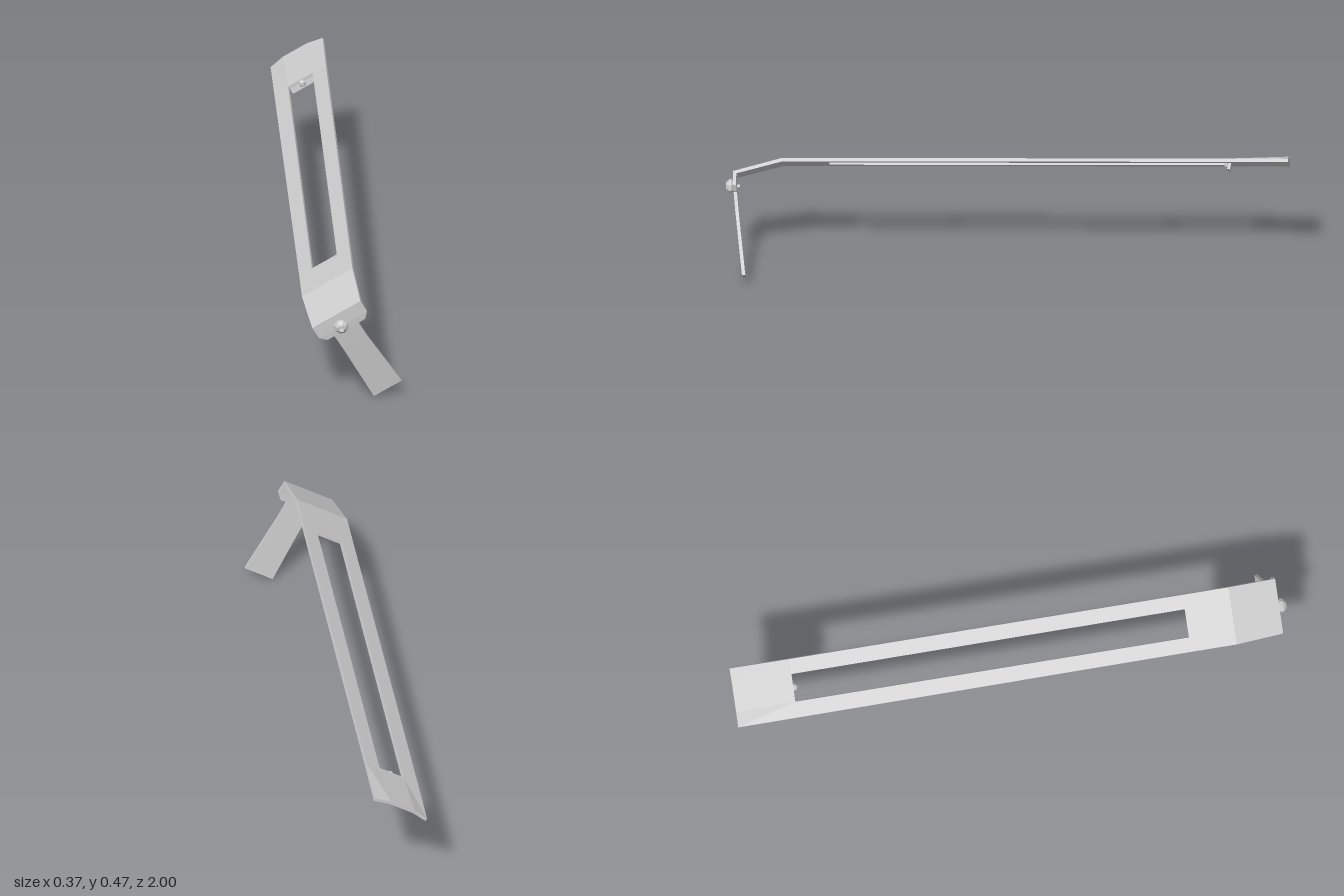
import * as THREE from 'three';

const material = new THREE.MeshStandardMaterial({ color: 0xcccccc, flatShading: true });
const T = 0.012; // sheet thickness

// Bent sheet: rows of outer points, an inward offset for each row, and cells left open.
function sheet(rows, offsets, isOpen) {
  const pos = [];
  const quad = (a, b, c, d) => pos.push(...a, ...b, ...c, ...a, ...c, ...d);
  const inner = rows.map((row, r) => row.map(p => p.map((v, k) => v + offsets[r][k])));
  const R = rows.length - 1, C = rows[0].length - 1;
  const filled = (r, c) => r >= 0 && c >= 0 && r < R && c < C && !isOpen(r, c);
  for (let r = 0; r < R; r++) for (let c = 0; c < C; c++) {
    if (!filled(r, c)) continue;
    const ring = [[r, c], [r + 1, c], [r + 1, c + 1], [r, c + 1]];
    const neighbours = [[r, c - 1], [r + 1, c], [r, c + 1], [r - 1, c]];
    const o = ring.map(([i, j]) => rows[i][j]);
    const n = ring.map(([i, j]) => inner[i][j]);
    quad(...o);
    quad(n[3], n[2], n[1], n[0]);
    neighbours.forEach((cell, k) => {
      const m = (k + 1) % 4;
      if (!filled(...cell)) quad(o[m], o[k], n[k], n[m]);
    });
  }
  const g = new THREE.BufferGeometry();
  g.setAttribute('position', new THREE.Float32BufferAttribute(pos, 3));
  g.computeVertexNormals();
  return g;
}

// Faceted stud with a small recess, pointing to +z
function stud(radius, depth) {
  const profile = [[0, 0], [0.6, 0], [1, 0.35], [0.9, 0.65], [0.5, 1], [0.4, 1], [0.3, 0.6], [0, 0.6]]
    .map(([x, y]) => new THREE.Vector2(x * radius, y * depth));
  return new THREE.LatheGeometry(profile, 8).rotateX(Math.PI / 2);
}

export function createModel() {
  const model = new THREE.Group();
  model.name = 'strapBracket';
  const body = new THREE.Group();
  body.name = 'rolledBody';
  body.position.set(-0.135, 0.297, 0);
  body.rotation.z = 0.54;
  model.add(body);

  const add = (name, geometry, x, y, z) => {
    const mesh = new THREE.Mesh(geometry, material);
    mesh.name = name;
    mesh.position.set(x, y, z);
    body.add(mesh);
    return mesh;
  };

  // Each row: four x positions, edge height, z, extra height of the middle, inward offset
  const sections = [
    [[-0.009, 0.05, 0.150, 0.207], 0.080, -1.0, 0.012, [0, -T, 0]],       // arched rear end
    [[-0.008, 0.05, 0.151, 0.206], 0.077, -0.785, 0, [0, -T, 0]],         // slot rear
    [[-0.003, 0.05, 0.153, 0.206], 0.052, 0.635, 0, [0, -T, 0]],          // slot front
    [[-0.003, 0.05, 0.153, 0.206], 0.049, 0.8, 0, [0, -T, -0.003]],       // first bend
    [[0, 0.05, 0.150, 0.2], 0, 0.972, 0, [0, -T * 0.7, -T]],              // second bend
    [[0, 0.05, 0.149, 0.198], -0.049, 0.972, 0, [0, 0, -T]],              // face plate
    [[0.022, 0.05, 0.149, 0.177], -0.071, 0.970, 0, [0, 0, -T]],          // chamfered corners
    [[0.049, 0.049, 0.147, 0.147], -0.137, 0.963, 0, [0, 0, -T]],         // neck
    [[0.039, 0.039, 0.153, 0.153], -0.366, 0.934, 0, [0, 0, -T]],         // tongue end
  ];
  const rows = sections.map(([xs, y, z, arch]) =>
    xs.map((x, i) => [x, y + (i === 1 || i === 2 ? arch : 0), z]));
  const isOpen = (r, c) => (r === 1 && c === 1) || (r >= 6 && c !== 1);
  add('slottedStrapAndTongue', sheet(rows, sections.map(s => s[4]), isOpen), 0, 0, 0);

  // Stud on the face plate with its tip behind
  add('frontStud', stud(0.027, 0.03), 0.092, -0.046, 0.97);
  add('studTip', new THREE.CylinderGeometry(0.006, 0.006, 0.012, 6).rotateX(Math.PI / 2), 0.092, -0.046, 0.955);

  // Lip hanging at the rear of the slot, with a small stud
  const lip = add('slotLip', new THREE.BoxGeometry(0.1, 0.034, 0.01), 0.1, 0.06, -0.79);
  lip.rotation.x = -0.2;
  add('lipStud', stud(0.014, 0.016), 0.1, 0.064, -0.786);

  return model;
}
